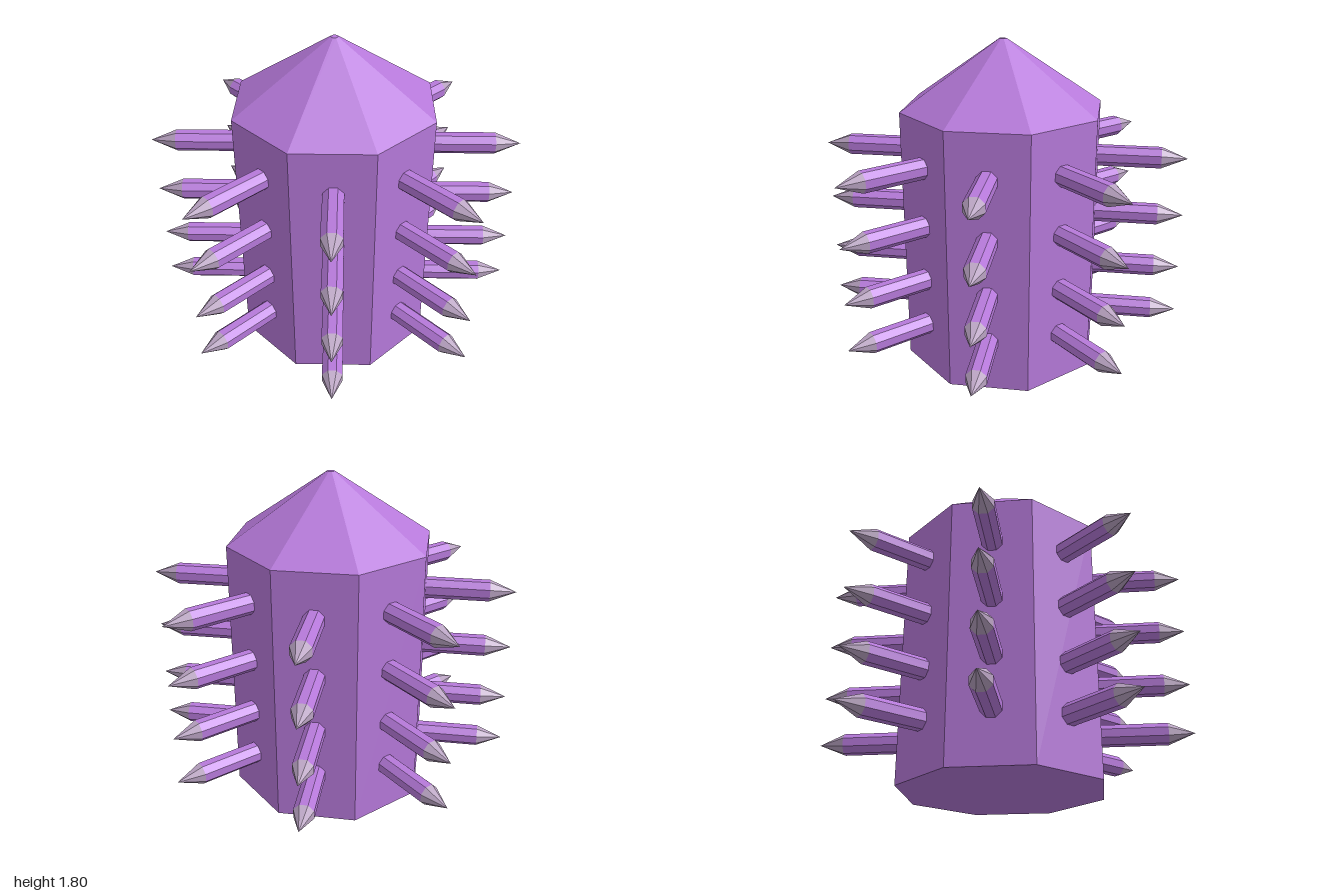
import * as THREE from 'three';

const SIDES = 8;
const BODY_RADIUS = 0.517 / Math.cos(Math.PI / SIDES);
const WALL_HEIGHT = 1.44;
const SPIKE_RADIUS = 0.058;
const SPIKE_ROWS = [0.285, 0.555, 0.867, 1.192];
const SPIKE_START = 0.35, TIP_START = 0.86, TIP_END = 1;

// Eight-sided prism or cone with its flats facing the axes
function octagon(top, bottom, height, baseY, open = false) {
  return new THREE.CylinderGeometry(top, bottom, height, SIDES, 1, open)
    .rotateY(Math.PI / SIDES)
    .translate(0, baseY + height / 2, 0);
}

export function createModel() {
  const purple = new THREE.MeshStandardMaterial({ color: 0xb679da, flatShading: true });
  const pale = new THREE.MeshStandardMaterial({ color: 0xb9a3c2, flatShading: true });
  const model = new THREE.Group();
  model.name = 'spikedTower';

  function add(parent, name, geometry, material) {
    const mesh = new THREE.Mesh(geometry, material);
    mesh.name = name;
    parent.add(mesh);
    return mesh;
  }

  // Octagonal body and its pointed roof, blunt at the very top
  const core = new THREE.Group();
  core.name = 'core';
  core.position.set(-0.004, 0, -0.003);
  add(core, 'body', octagon(BODY_RADIUS, BODY_RADIUS, WALL_HEIGHT, 0), purple);
  add(core, 'roof', octagon(0.02, BODY_RADIUS, 0.365, WALL_HEIGHT), purple);
  model.add(core);

  // Spike geometry points along +z
  const shaft = octagon(SPIKE_RADIUS, SPIKE_RADIUS, TIP_START - SPIKE_START, SPIKE_START).rotateX(Math.PI / 2);
  const tip = octagon(0, SPIKE_RADIUS, TIP_END - TIP_START, TIP_START, true).rotateX(Math.PI / 2);

  // Four rings of spikes, one spike on each face
  for (const y of SPIKE_ROWS) {
    const ring = new THREE.Group();
    ring.name = 'spikeRing';
    ring.position.y = y;
    for (let i = 0; i < SIDES; i++) {
      const spike = new THREE.Group();
      spike.name = 'spike';
      spike.rotation.y = (i / SIDES) * Math.PI * 2;
      add(spike, 'spikeShaft', shaft, purple);
      add(spike, 'spikeTip', tip, pale);
      ring.add(spike);
    }
    model.add(ring);
  }
  return model;
}
